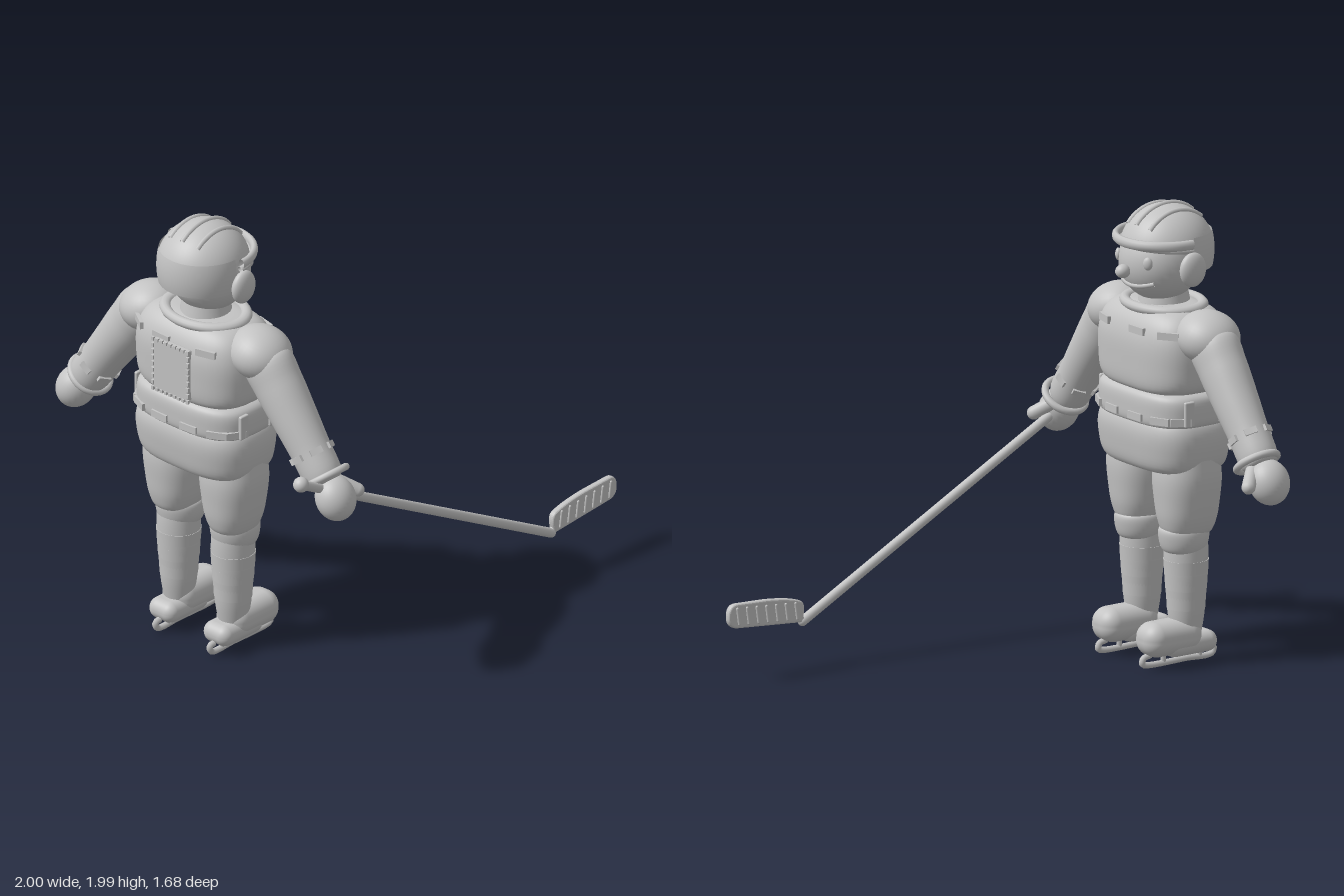
import * as THREE from 'three';
import { mergeVertices } from 'three/addons/utils/BufferGeometryUtils.js';
import { RoundedBoxGeometry } from 'three/addons/geometries/RoundedBoxGeometry.js';

const V = (x, y, z) => new THREE.Vector3(x, y, z);

// Smooth vertical loft; rings are [y, half depth x, half width z], cross-section is a superellipse
function loft(rings, n = 2, segs = 40) {
  const pts = new THREE.CatmullRomCurve3(rings.map(([y, hx, hz]) => V(hx, y, hz))).getPoints(rings.length * 5);
  const g = new THREE.LatheGeometry(pts.map(p => new THREE.Vector2(1, p.y)), segs);
  const pos = g.attributes.position;
  const bend = t => Math.sign(t) * Math.abs(t) ** (2 / n);
  for (let i = 0; i < pos.count; i++) {
    const p = pts[i % pts.length];
    pos.setX(i, bend(pos.getX(i)) * Math.abs(p.x));
    pos.setZ(i, bend(pos.getZ(i)) * Math.abs(p.z));
  }
  g.deleteAttribute('uv');
  g.deleteAttribute('normal');
  const out = mergeVertices(g, 1e-5);
  out.computeVertexNormals();
  return out;
}

export function createModel() {
  const model = new THREE.Group();
  model.name = 'hockeyPlayer';
  const grey = new THREE.MeshStandardMaterial({ color: 0xc4c4c4, side: THREE.DoubleSide });
  grey.name = 'light grey';

  const add = (parent, name, geo, x = 0, y = 0, z = 0) => {
    const m = new THREE.Mesh(geo, grey);
    m.name = name;
    m.position.set(x, y, z);
    parent.add(m);
    return m;
  };
  const ball = (parent, name, r, x, y, z) => {
    const m = add(parent, name, new THREE.SphereGeometry(1, 32, 22), x, y, z);
    m.scale.set(...r);
    return m;
  };
  const rod = (parent, name, a, b, r, cap = true) => {
    const d = b.clone().sub(a), l = d.length();
    const geo = cap ? new THREE.CapsuleGeometry(r, l, 6, 16) : new THREE.CylinderGeometry(r, r, l, 18);
    const m = add(parent, name, geo);
    m.position.copy(a).add(b).multiplyScalar(0.5);
    m.quaternion.setFromUnitVectors(V(0, 1, 0), d.normalize());
    return m;
  };

  const player = new THREE.Group();
  player.name = 'player';
  player.position.x = -0.77;
  model.add(player);

  // Jersey, waist and hips
  add(player, 'jersey', loft([[1.19, 0.1, 0.15], [1.195, 0.18, 0.255], [1.225, 0.2, 0.295], [1.32, 0.207, 0.31],
    [1.42, 0.205, 0.308], [1.49, 0.185, 0.285], [1.535, 0.15, 0.24], [1.555, 0.1, 0.16], [1.555, 0.001, 0.001]], 3));
  add(player, 'waist', loft([[1.05, 0.1, 0.15], [1.06, 0.2, 0.295], [1.12, 0.208, 0.306], [1.18, 0.203, 0.296], [1.205, 0.17, 0.25], [1.205, 0.1, 0.15]], 3));
  add(player, 'hips', loft([[0.835, 0.001, 0.001], [0.838, 0.12, 0.2], [0.865, 0.185, 0.285], [0.95, 0.205, 0.31],
    [1.03, 0.208, 0.307], [1.075, 0.19, 0.28], [1.085, 0.1, 0.15]], 3));
  const collar = add(player, 'collar', new THREE.TorusGeometry(0.15, 0.022, 12, 48).rotateX(Math.PI / 2), 0, 1.545, 0);
  collar.scale.z = 1.27;
  add(player, 'neck', new THREE.CylinderGeometry(0.1, 0.12, 0.1, 32), 0, 1.56, 0);

  // Trim dashes lying on the superellipse outline, front and back
  const dashes = (name, y, hx, hz, zs, w) => {
    for (const side of [1, -1]) for (const z of zs) {
      const x = hx * (1 - Math.abs(z / hz) ** 3) ** (1 / 3);
      const m = add(player, name, new THREE.BoxGeometry(w, 0.032, 0.016), side * x, y, z);
      const nx = side * (x / hx) ** 2 / hx, nz = Math.sign(z) * (z / hz) ** 2 / hz;
      m.rotation.y = Math.atan2(nx, nz);
    }
  };
  dashes('chestDash', 1.465, 0.198, 0.3, [-0.24, -0.075, 0.17], 0.095);
  dashes('beltDash', 1.09, 0.208, 0.306, [-0.285, -0.215, -0.075, 0.09, 0.225, 0.285], 0.09);
  for (const s of [1, -1]) for (const x of [-0.09, 0.09])
    add(player, 'hipBuckle', new RoundedBoxGeometry(0.05, 0.11, 0.018, 2, 0.006), x, 1.125, s * 0.302);

  // Stitched panel on the back
  add(player, 'backPanel', new RoundedBoxGeometry(0.03, 0.24, 0.2, 2, 0.008), -0.207, 1.34, 0);
  for (let i = 0; i <= 8; i++) {
    const t = i / 8 - 0.5;
    for (const s of [1, -1]) {
      add(player, 'panelStitch', new THREE.BoxGeometry(0.012, 0.017, 0.014), -0.222, 1.34 + t * 0.235, s * 0.1);
      add(player, 'panelStitch', new THREE.BoxGeometry(0.012, 0.014, 0.014), -0.222, 1.34 + s * 0.118, t * 0.2);
    }
  }

  // Head and face
  const head = new THREE.Group();
  head.name = 'head';
  player.add(head);
  const HY = 1.735, R = 0.178;
  ball(head, 'face', [R, R, R], 0.02, HY, 0);
  const onFace = (y, z, lift = 0) => V(0.02 + Math.sqrt(R * R - (y - HY) ** 2 - z * z) + lift, y, z);
  ball(head, 'nose', [0.034, 0.03, 0.03], 0.217, 1.71, 0);
  for (const s of [1, -1]) {
    const p = onFace(1.755, s * 0.105);
    ball(head, 'eye', [0.014, 0.028, 0.021], p.x, p.y, p.z).rotation.y = -s * 0.65;
    ball(head, 'earPad', [0.065, 0.075, 0.034], 0.005, 1.728, s * 0.213);
  }
  const smile = [-0.115, -0.08, -0.04, 0, 0.04, 0.08, 0.115].map(z => onFace(1.643 + z * z * 1.6, z));
  add(head, 'mouth', new THREE.TubeGeometry(new THREE.CatmullRomCurve3(smile), 30, 0.01, 8));

  // Helmet: dome, lower rear shell, brow rim and three ridges
  const dome = add(head, 'helmetDome', new THREE.SphereGeometry(1, 48, 20, 0, Math.PI * 2, 0, 1.32), -0.015, 1.775, 0);
  dome.scale.set(0.205, 0.197, 0.197);
  const rear = add(head, 'helmetRear', new THREE.SphereGeometry(1, 40, 12, -1.55, 3.1, 1.25, 0.6), -0.015, 1.775, 0);
  rear.scale.set(0.205, 0.26, 0.197);
  const rearBase = add(head, 'helmetRearBase', new THREE.CircleGeometry(1, 32, Math.PI / 2, Math.PI).rotateX(Math.PI / 2), -0.015, 1.703, 0);
  rearBase.scale.set(0.195, 1, 0.187);
  const rim = () => new THREE.TorusGeometry(0.205, 0.016, 10, 40, Math.PI).rotateZ(-Math.PI / 2).rotateX(Math.PI / 2);
  const brow = add(head, 'browRim', rim(), 0, 1.835, 0);
  brow.scale.y = 1.4;
  const visor = add(head, 'lowerRim', rim(), 0, 1.808, 0);
  visor.scale.set(0.9, 0.8, 0.97);
  visor.rotation.z = 0.06;
  for (const z of [-0.078, 0, 0.078]) {
    const k = Math.sqrt(1 - (z / 0.197) ** 2);
    const ridge = [];
    for (let a = 0.68; a < 2.3; a += 0.2)
      ridge.push(V(-0.015 + 0.205 * k * Math.cos(a), 1.775 + 0.198 * k * Math.sin(a), z));
    add(head, 'helmetRidge', new THREE.TubeGeometry(new THREE.CatmullRomCurve3(ridge), 28, 0.011, 8));
  }

  for (const s of [1, -1]) {
    // Arm hangs along local -y and is swung outward
    ball(player, 'shoulderPad', [0.138, 0.112, 0.14], 0, 1.455, s * 0.315).rotation.x = s * 0.25;
    const arm = new THREE.Group();
    arm.name = 'arm';
    arm.position.set(0, 1.42, s * 0.36);
    arm.rotation.x = -s * 0.64;
    player.add(arm);
    add(arm, 'sleeve', loft([[-0.56, 0.001, 0.001], [-0.56, 0.07, 0.07], [-0.53, 0.083, 0.088], [-0.4, 0.088, 0.094],
      [-0.25, 0.098, 0.103], [-0.1, 0.104, 0.113], [0.02, 0.1, 0.11], [0.06, 0.02, 0.02]]));
    for (let i = 0; i < 6; i++) {
      const a = (i + 0.5) * Math.PI / 3;
      add(arm, 'sleeveDash', new THREE.BoxGeometry(0.055, 0.028, 0.014), 0.088 * Math.sin(a), -0.425, 0.094 * Math.cos(a)).rotation.y = a;
    }
    add(arm, 'gloveCuff', new THREE.TorusGeometry(0.092, 0.016, 10, 36).rotateX(Math.PI / 2), 0.015, -0.54, 0);
    ball(player, 'glove', [0.09, 0.1, 0.085], 0, 0.912, s * 0.75).rotation.x = -s * 0.45;
    rod(player, 'thumb', V(0.055, 0.96, s * 0.705), V(0.12, 0.91, s * 0.765), 0.03);

    // Leg: trouser, knee pad, sock with bands
    const leg = new THREE.Group();
    leg.name = 'leg';
    leg.position.z = s * 0.157;
    player.add(leg);
    add(leg, 'trouserLeg', loft([[0.565, 0.06, 0.06], [0.575, 0.105, 0.09], [0.63, 0.127, 0.115], [0.72, 0.138, 0.134],
      [0.82, 0.143, 0.146], [0.92, 0.13, 0.14]], 2.2), 0, 0, 0.006 * s);
    add(leg, 'kneePad', loft([[0.485, 0.06, 0.06], [0.495, 0.092, 0.088], [0.54, 0.108, 0.104], [0.59, 0.108, 0.1], [0.61, 0.06, 0.06]]), 0.012);
    add(leg, 'sock', loft([[0.1, 0.06, 0.06], [0.2, 0.077, 0.076], [0.28, 0.084, 0.084], [0.4, 0.093, 0.094], [0.5, 0.095, 0.094], [0.58, 0.09, 0.09]]));
    for (const [y, r] of [[0.265, 0.081], [0.35, 0.088], [0.425, 0.093]])
      add(leg, 'sockBand', new THREE.CylinderGeometry(r + 0.004, r + 0.001, 0.055, 36), 0, y, 0);

    // Skate: boot, heel and runner
    add(leg, 'bootToe', new RoundedBoxGeometry(0.29, 0.15, 0.165, 6, 0.068), 0.09, 0.122, 0);
    add(leg, 'bootHeel', new RoundedBoxGeometry(0.26, 0.095, 0.15, 6, 0.046), 0, 0.085, 0);
    const runner = [[-0.12, 0.05], [-0.145, 0.045], [-0.135, 0.016], [0, 0.014], [0.205, 0.014], [0.23, 0.022], [0.225, 0.045], [0.19, 0.055]];
    const blade = new THREE.CatmullRomCurve3(runner.map(([x, y]) => V(x, y, 0)));
    add(leg, 'skateRunner', new THREE.TubeGeometry(blade, 48, 0.014, 8));
    for (const x of [-0.07, 0.12]) rod(leg, 'runnerPost', V(x, 0.014, 0), V(x, 0.07, 0), 0.012, false);
  }

  // Hockey stick with taped blade
  const stick = new THREE.Group();
  stick.name = 'stick';
  stick.position.z = 0.72;
  model.add(stick);
  rod(stick, 'shaft', V(-0.95, 1.033, 0), V(0.602, 0.204, 0), 0.021, false);
  ball(stick, 'buttKnob', [0.034, 0.034, 0.034], -0.953, 1.035, 0);
  ball(stick, 'shaftTip', [0.021, 0.021, 0.021], 0.602, 0.204, 0);
  rod(stick, 'bladeNeck', V(0.6, 0.205, 0), V(0.64, 0.25, 0), 0.015);
  const sh = new THREE.Shape();
  sh.moveTo(0.618, 0.212);
  sh.lineTo(0.95, 0.238);
  sh.quadraticCurveTo(0.99, 0.242, 0.99, 0.28);
  sh.quadraticCurveTo(0.992, 0.328, 0.955, 0.328);
  sh.lineTo(0.8, 0.322);
  sh.quadraticCurveTo(0.68, 0.313, 0.622, 0.29);
  sh.quadraticCurveTo(0.598, 0.278, 0.618, 0.212);
  add(stick, 'blade', new THREE.ExtrudeGeometry(sh, { depth: 0.012, bevelThickness: 0.01, bevelSize: 0.009, bevelSegments: 3, curveSegments: 10 }), 0, 0, -0.006);
  for (let i = 0; i < 7; i++) for (const s of [1, -1]) {
    const x = 0.645 + i * 0.051;
    rod(stick, 'bladeTape', V(x - 0.004, 0.225 + i * 0.004, s * 0.017), V(x + 0.006, 0.293 + i * 0.004, s * 0.017), 0.0065);
  }
  return model;
}
